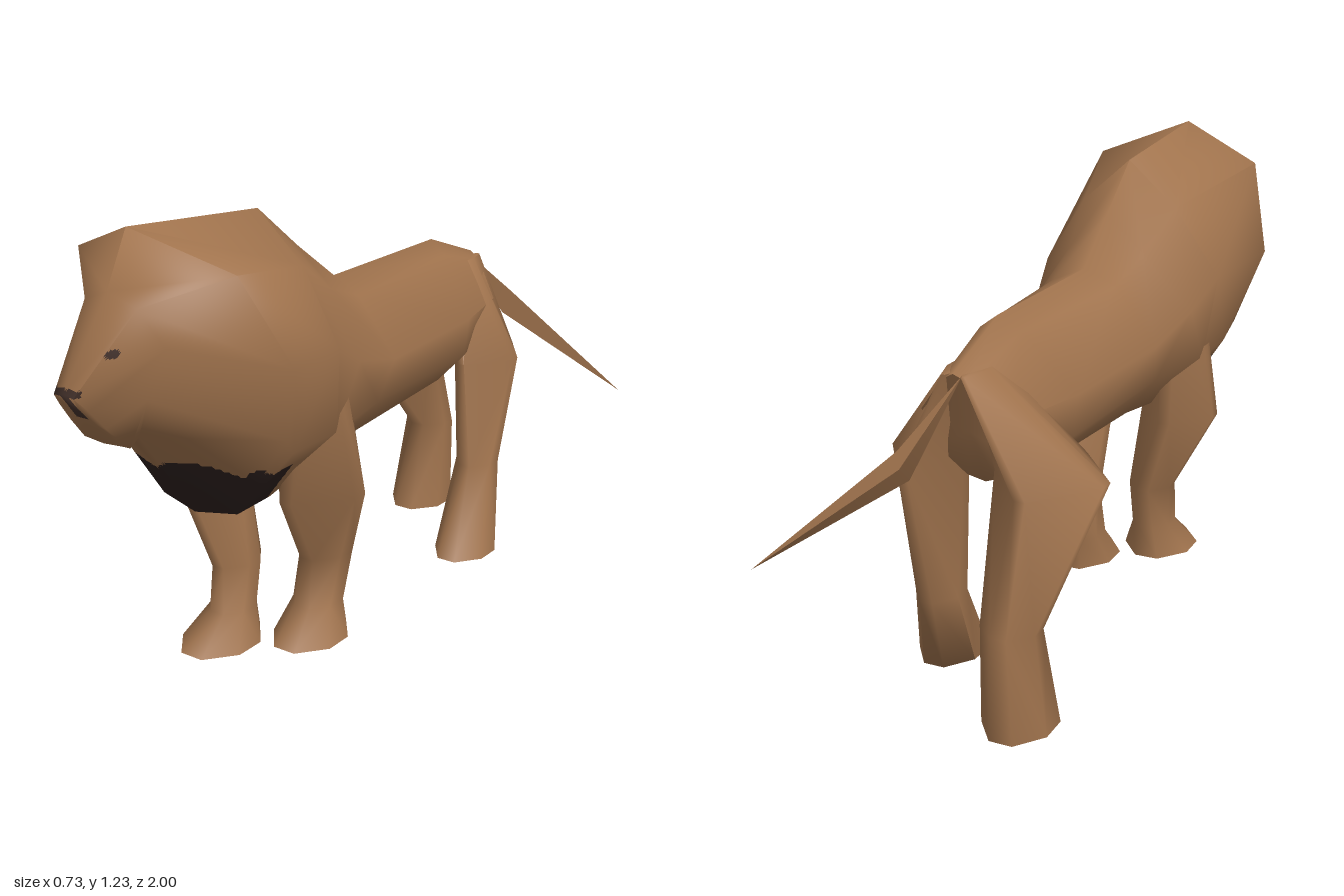
import * as THREE from 'three';
import { toCreasedNormals } from 'three/addons/utils/BufferGeometryUtils.js';

const MID = -0.035; // the body's centre line in x

// Skin through rings of equal point count, capped at both ends, facing outwards
function loft(rings) {
  const n = rings[0].length;
  const pts = rings.flat();
  const faces = [];
  for (let r = 0; r < rings.length - 1; r++) {
    for (let i = 0; i < n; i++) {
      const a = r * n + i, b = r * n + (i + 1) % n;
      // diagonals are mirrored on the second half of the ring
      if (i < n / 2) faces.push([a, b, b + n], [a, b + n, a + n]);
      else faces.push([a, b, a + n], [b, b + n, a + n]);
    }
  }
  [0, rings.length - 1].forEach((r, end) => {
    const c = [0, 1, 2].map(k => rings[r].reduce((s, p) => s + p[k], 0) / n);
    pts.push(c);
    for (let i = 0; i < n; i++) {
      const a = r * n + i, b = r * n + (i + 1) % n;
      faces.push(end ? [a, b, pts.length - 1] : [b, a, pts.length - 1]);
    }
  });
  // signed volume tells which way the faces wind
  const v = pts.map(p => new THREE.Vector3(...p));
  const volume = faces.reduce((s, [a, b, c]) => s + v[a].dot(v[b].clone().cross(v[c])), 0);
  if (volume < 0) faces.forEach(f => f.reverse());
  const g = new THREE.BufferGeometry();
  g.setAttribute('position', new THREE.Float32BufferAttribute(pts.flat(), 3));
  g.setIndex(faces.flat());
  return toCreasedNormals(g, 1.4);
}

// Split the front triangles finely, keeping shape and normals, and group faces by a paint rule
function paint(geometry, rule, colours, steps) {
  const P = geometry.attributes.position, N = geometry.attributes.normal;
  const buckets = Array.from({ length: colours }, () => ({ p: [], n: [] }));
  const read = (attr, i) => new THREE.Vector3().fromBufferAttribute(attr, i);
  for (let t = 0; t < P.count; t += 3) {
    const p = [0, 1, 2].map(k => read(P, t + k));
    const nn = [0, 1, 2].map(k => read(N, t + k));
    const front = Math.max(p[0].z, p[1].z, p[2].z) > 0.45;
    const s = front ? steps : 1;
    const mix = (c, i, j) => c[0].clone().multiplyScalar((s - i - j) / s)
      .addScaledVector(c[1], i / s).addScaledVector(c[2], j / s);
    const add = corners => {
      const q = corners.map(([i, j]) => mix(p, i, j));
      const centre = q[0].clone().add(q[1]).add(q[2]).divideScalar(3);
      const bucket = buckets[rule(centre)];
      corners.forEach(([i, j], k) => {
        bucket.p.push(...q[k].toArray());
        bucket.n.push(...mix(nn, i, j).normalize().toArray());
      });
    };
    for (let i = 0; i < s; i++) {
      for (let j = 0; i + j < s; j++) {
        add([[i, j], [i + 1, j], [i, j + 1]]);
        if (i + j < s - 1) add([[i + 1, j], [i + 1, j + 1], [i, j + 1]]);
      }
    }
  }
  const g = new THREE.BufferGeometry();
  g.setAttribute('position', new THREE.Float32BufferAttribute(buckets.flatMap(b => b.p), 3));
  g.setAttribute('normal', new THREE.Float32BufferAttribute(buckets.flatMap(b => b.n), 3));
  let start = 0;
  buckets.forEach((b, m) => {
    g.addGroup(start, b.p.length / 3, m);
    start += b.p.length / 3;
  });
  return g;
}

// Half ring [half width, y, z] from top centre to bottom centre, mirrored to a full ring
const mirrorRing = half => [
  ...half.map(([x, y, z]) => [MID + x, y, z]),
  ...half.slice(1, -1).reverse().map(([x, y, z]) => [MID - x, y, z]),
];

// Leg section [y, xMin, xMax, zMin, zMax, c]: c runs from a diamond (0) to a box (1)
const legRing = ([y, x0, x1, z0, z1, c]) =>
  [[1, c], [c, 1], [-c, 1], [-1, c], [-1, -c], [-c, -1], [c, -1], [1, -c]].map(([u, w]) =>
    [(x0 + x1) / 2 + u * (x1 - x0) / 2, y, (z0 + z1) / 2 + w * (z1 - z0) / 2]);

// Muzzle, brow, mane, chest, shoulders, waist, loin and rump
const BODY = [
  [[0, 0.89, 1], [0.03, 0.885, 1], [0.045, 0.85, 0.97], [0.055, 0.8, 0.93], [0.06, 0.745, 0.885], [0, 0.74, 0.885]],
  [[0, 1.09, 0.85], [0.08, 1.06, 0.84], [0.135, 0.97, 0.81], [0.1, 0.85, 0.84], [0.068, 0.738, 0.87], [0, 0.735, 0.87]],
  [[0, 1.225, 0.78], [0.245, 1.13, 0.69], [0.32, 0.895, 0.58], [0.25, 0.69, 0.53], [0.03, 0.735, 0.8], [0, 0.735, 0.8]],
  [[0, 1.185, 0.31], [0.14, 1.06, 0.31], [0.265, 0.87, 0.33], [0.235, 0.64, 0.48], [0.12, 0.478, 0.56], [0, 0.462, 0.58]],
  [[0, 1.06, 0.15], [0.11, 0.96, 0.15], [0.235, 0.8, 0.2], [0.235, 0.64, 0.3], [0.11, 0.475, 0.42], [0, 0.47, 0.43]],
  [[0, 0.945, 0], [0.09, 0.905, 0], [0.21, 0.75, 0], [0.19, 0.64, 0.05], [0.085, 0.515, 0.1], [0, 0.5, 0.11]],
  [[0, 0.95, -0.5], [0.055, 0.91, -0.49], [0.178, 0.75, -0.43], [0.165, 0.64, -0.43], [0.065, 0.54, -0.45], [0, 0.52, -0.46]],
  [[0, 0.87, -0.73], [0.035, 0.85, -0.72], [0.12, 0.75, -0.67], [0.1, 0.65, -0.64], [0.04, 0.57, -0.6], [0, 0.55, -0.58]],
];

// Walking pose, so each leg has its own sections from top to paw
const LEGS = {
  frontRightLeg: [[0.84, -0.25, -0.14, 0.24, 0.4, 0.3], [0.46, -0.305, -0.085, 0.2, 0.45, 0.15],
    [0.22, -0.175, -0.05, 0.25, 0.41, 0.3], [0.09, -0.17, -0.055, 0.28, 0.42, 0.4], [0, -0.22, -0.02, 0.27, 0.52, 0.35]],
  frontLeftLeg: [[0.84, 0.07, 0.18, 0.2, 0.36, 0.3], [0.46, -0.005, 0.24, 0.1, 0.41, 0.15],
    [0.23, -0.005, 0.13, 0.07, 0.25, 0.3], [0.09, -0.01, 0.115, 0.11, 0.26, 0.4], [0, -0.035, 0.155, 0.11, 0.35, 0.35]],
  hindRightLeg: [[0.865, -0.085, -0.035, -0.73, -0.57, 0.2], [0.605, -0.365, -0.08, -0.775, -0.43, 0.1],
    [0.28, -0.265, -0.12, -0.835, -0.69, 0.3], [0.01, -0.285, -0.11, -0.84, -0.62, 0.35]],
  hindLeftLeg: [[0.865, -0.035, 0.015, -0.73, -0.57, 0.2], [0.61, 0.02, 0.22, -0.715, -0.43, 0.1],
    [0.25, 0.02, 0.14, -0.69, -0.53, 0.3], [0.01, 0.045, 0.21, -0.58, -0.36, 0.35]],
};

// 0 = fur, 1 = dark chest fur, 2 = eyes and nose
function coatRule({ x, y, z }) {
  const d = Math.abs(x - MID);
  if (z > 0.8 && Math.hypot(d - 0.065, y - 0.97) < 0.01) return 2;
  const stem = 0.013 + Math.max(0, 0.86 - y) * 0.15;
  if (z > 0.9 && ((d < 0.038 && y > 0.885 && y < 0.9) || (d < stem && y > 0.82 && y < 0.89))) return 2;
  const edge = 0.58 + 0.15 * (z - 0.5) + 0.04 * Math.abs(Math.sin(d * 18 + 0.3));
  return z > 0.43 && d < 0.195 && y < edge ? 1 : 0;
}

export function createModel() {
  const make = (name, color) => {
    const m = new THREE.MeshStandardMaterial({ color });
    m.name = name;
    return m;
  };
  const fur = make('brown fur', 0xa0734d);
  const darkFur = make('dark chest fur', 0x2e211f);
  const feature = make('eye and nose', 0x42302a);

  const model = new THREE.Group();
  model.name = 'lion';
  const add = (name, geometry, material) => {
    const mesh = new THREE.Mesh(geometry, material);
    mesh.name = name;
    model.add(mesh);
  };

  // Head, mane and trunk in one skin
  add('body', paint(loft(BODY.map(mirrorRing)), coatRule, 3, 28), [fur, darkFur, feature]);

  for (const [name, sections] of Object.entries(LEGS)) add(name, loft(sections.map(legRing)), fur);

  // Tail, swinging to the left
  const point = p => [p, p, p];
  add('tail', loft([
    point([-0.06, 0.87, -0.73]),
    [[0, 0.7, -0.92], [0.035, 0.72, -0.87], [0.01, 0.65, -0.86]],
    point([0.36, 0.42, -1]),
  ]), fur);

  return model;
}
